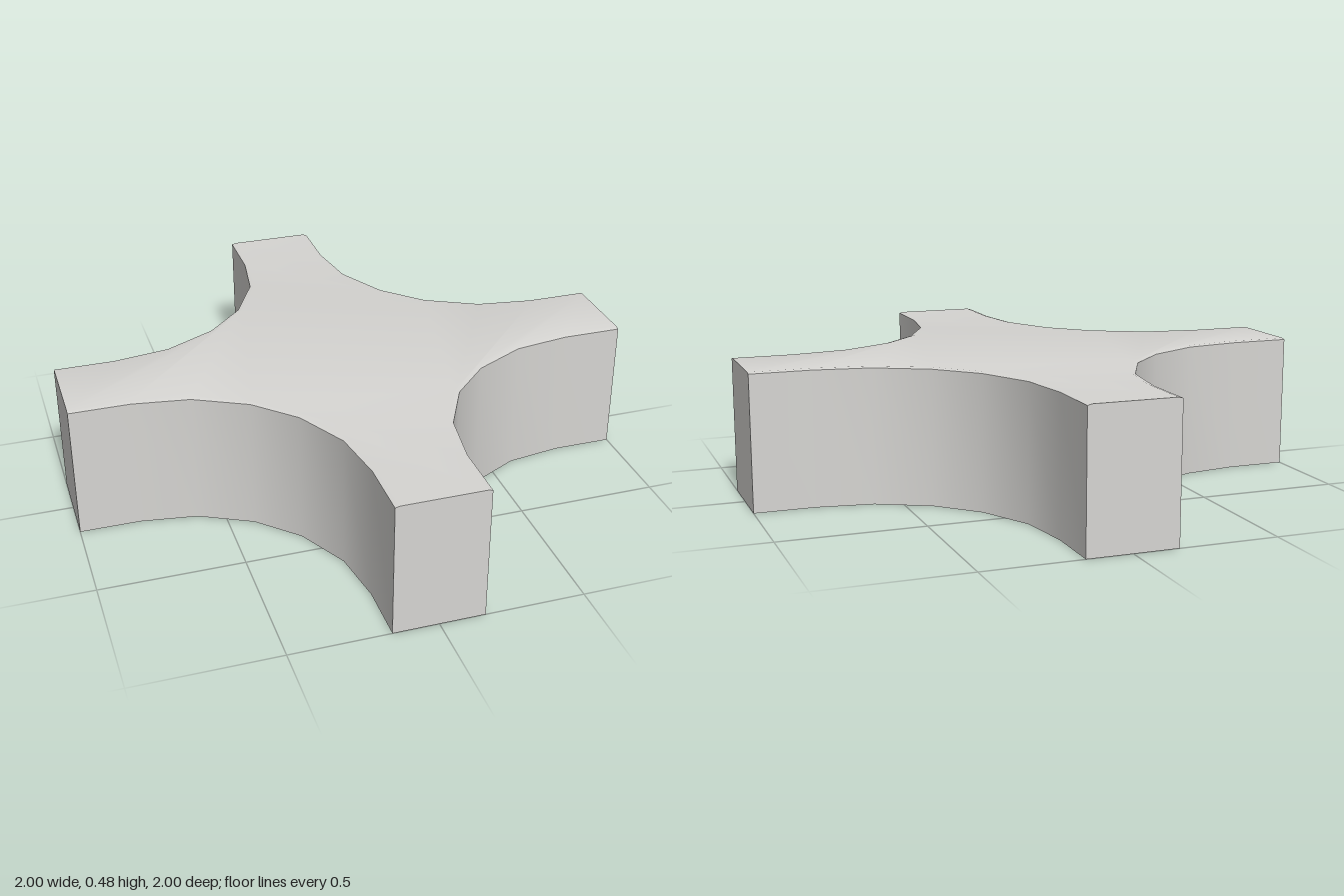
import * as THREE from 'three';
import { toCreasedNormals } from 'three/addons/utils/BufferGeometryUtils.js';

const HEIGHT = 0.476;
const LIP_DROP = 0.004; // shallow chamfer along the upper edge of the hollows
const LIP_WIDTH = 0.016;
const ARC = 0.79; // where the straight arm ends and the hollow begins

// One quarter of the cross outline, from the +x arm to the +y arm
const QUARTER = [
  [1, 0.157], [ARC, 0.157], [0.593, 0.187], [0.412, 0.28],
  [0.28, 0.412], [0.187, 0.593], [0.157, ARC], [0.157, 1],
];

function crossShape() {
  const points = [];
  for (let i = 0; i < 4; i++) {
    for (const [x, y] of QUARTER) {
      points.push(new THREE.Vector2(x, y).rotateAround(new THREE.Vector2(), (i * Math.PI) / 2));
    }
  }
  return new THREE.Shape(points);
}

function crossGeometry() {
  const geometry = new THREE.ExtrudeGeometry(crossShape(), { depth: HEIGHT, steps: 2, bevelEnabled: false });
  const pos = geometry.attributes.position;
  for (let i = 0; i < pos.count; i++) {
    const x = pos.getX(i), y = pos.getY(i), z = pos.getZ(i);
    if (z > HEIGHT * 0.75) {
      // Draw the top rim in, away from each hollow, keeping the arm ends flat
      const inward = new THREE.Vector2(Math.max(ARC - Math.abs(x), 0), Math.max(ARC - Math.abs(y), 0));
      inward.setLength(LIP_WIDTH);
      pos.setXY(i, x - Math.sign(x) * inward.x, y - Math.sign(y) * inward.y);
    } else if (z > HEIGHT * 0.25) {
      pos.setZ(i, HEIGHT - LIP_DROP);
    }
  }
  geometry.rotateX(-Math.PI / 2);
  return toCreasedNormals(geometry, THREE.MathUtils.degToRad(35));
}

export function createModel() {
  const group = new THREE.Group();
  group.name = 'crossBlock';

  const lightGrey = new THREE.MeshStandardMaterial({ color: 0xd6d5d2 });
  lightGrey.name = 'lightGrey';

  // Four-armed block with hollowed inner corners
  const body = new THREE.Mesh(crossGeometry(), lightGrey);
  body.name = 'crossBody';
  group.add(body);
  return group;
}
